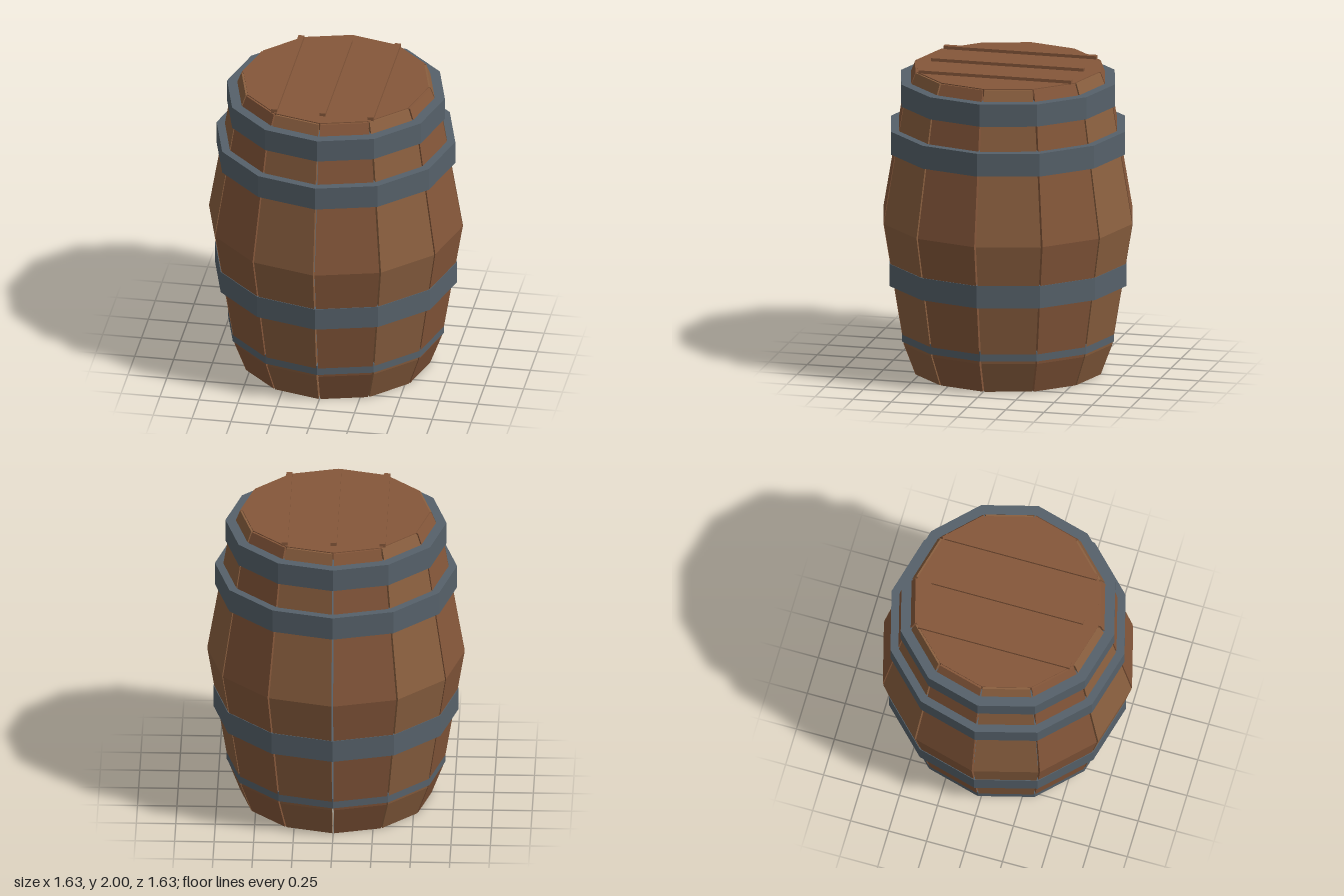
import * as THREE from 'three';

const SIDES = 12;
const HALF = Math.PI / SIDES;
const GAP = 0.006;
const THICK = 0.05;
// Barrel profile: [height, corner radius]
const PROFILE = [[0, 0.608], [0.2, 0.684], [1, 0.817], [1.78, 0.684], [1.974, 0.608]];

const material = (color) => new THREE.MeshStandardMaterial({ color, flatShading: true });

// One bent plank, facing +z, with sides cut along the radial seams
function staveGeometry() {
  const rows = PROFILE.length - 1;
  const geo = new THREE.BoxGeometry(1, rows, 1, 1, rows, 1);
  const pos = geo.attributes.position;
  for (let i = 0; i < pos.count; i++) {
    const [y, r] = PROFILE[Math.round(pos.getY(i) + rows / 2)];
    const z = r * Math.cos(HALF) - (pos.getZ(i) > 0 ? 0 : THICK);
    const x = Math.sign(pos.getX(i)) * (z * Math.tan(HALF) - GAP);
    pos.setXYZ(i, x, y, z);
  }
  geo.computeVertexNormals();
  return geo;
}

// Twelve-sided solid between two heights
function disc(name, radius, y0, y1, mat) {
  const mesh = new THREE.Mesh(new THREE.CylinderGeometry(radius, radius, y1 - y0, SIDES), mat);
  mesh.position.y = (y0 + y1) / 2;
  mesh.name = name;
  return mesh;
}

export function createModel() {
  const barrel = new THREE.Group();
  barrel.name = 'barrel';
  const woods = [material(0x85573a), material(0x8a5f3f)];
  const iron = material(0x56616a);

  // Staves
  const staves = new THREE.Group();
  staves.name = 'staves';
  const geo = staveGeometry();
  for (let i = 0; i < SIDES; i++) {
    const stave = new THREE.Mesh(geo, woods[i % 2]);
    stave.rotation.y = HALF * (2 * i + 1);
    stave.name = 'stave';
    staves.add(stave);
  }
  barrel.add(staves);

  // Iron hoops; the lowest one closes the bottom
  const hoops = [[0.695, 0.22, 0.285], [0.777, 0.59, 0.735], [0.767, 1.45, 1.6], [0.7, 1.76, 1.905]];
  for (const [r, y0, y1] of hoops) barrel.add(disc('hoop', r, y0, y1, iron));

  // Lid with three battens
  barrel.add(disc('lid', 0.595, 1.93, 1.98, woods[0]));
  for (const x of [-0.31, 0, 0.31]) {
    const batten = new THREE.Mesh(new THREE.BoxGeometry(0.038, 0.06, 1), woods[0]);
    batten.position.set(x, 1.97, 0);
    batten.name = 'lidBatten';
    barrel.add(batten);
  }
  return barrel;
}
